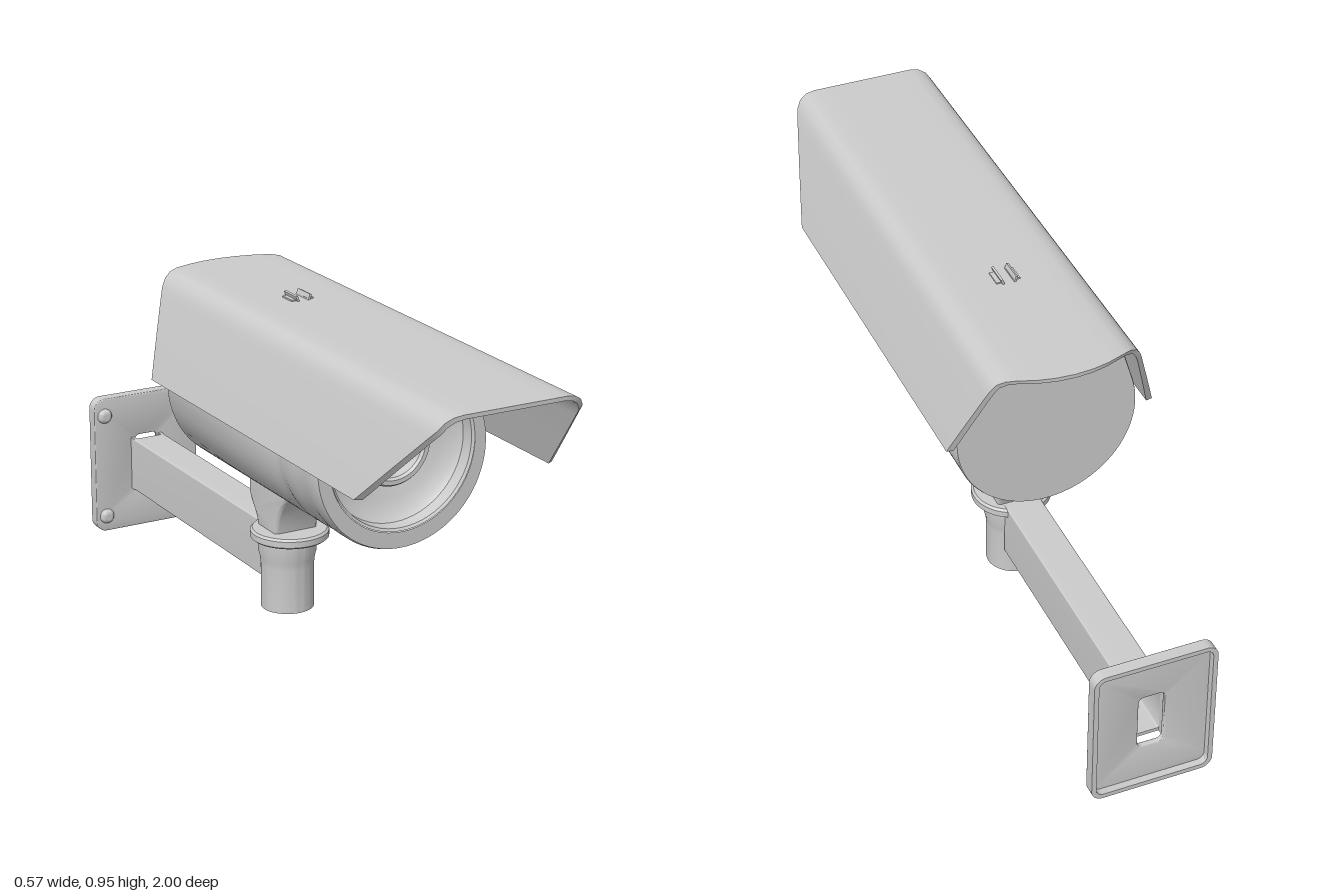
import * as THREE from 'three';
import { toCreasedNormals } from 'three/addons/utils/BufferGeometryUtils.js';

const V2 = (a) => a.map(([x, y]) => new THREE.Vector2(x, y));

// Skin a list of equal-length rings of [x, y, z] points.
function loft(rings) {
  const n = rings[0].length, index = [];
  for (let i = 0; i < rings.length - 1; i++) {
    for (let j = 0; j < n - 1; j++) {
      const a = i * n + j, d = a + n;
      index.push(a, a + 1, d + 1, a, d + 1, d);
    }
  }
  const g = new THREE.BufferGeometry();
  g.setAttribute('position', new THREE.Float32BufferAttribute(rings.flat(2), 3));
  g.setIndex(index);
  return toCreasedNormals(g, 0.6);
}

// Rounded rectangle outline, used for shapes and holes.
function roundRect(Type, w, y0, y1, r) {
  const s = new Type();
  s.absarc(w - r, y0 + r, r, -Math.PI / 2, 0);
  s.absarc(w - r, y1 - r, r, 0, Math.PI / 2);
  s.absarc(-w + r, y1 - r, r, Math.PI / 2, Math.PI);
  s.absarc(-w + r, y0 + r, r, Math.PI, Math.PI * 1.5);
  s.closePath();
  return s;
}

export function createModel() {
  const group = new THREE.Group();
  const mat = new THREE.MeshStandardMaterial({ color: 0xcccccc, side: THREE.DoubleSide });
  const add = (name, geometry, x = 0, y = 0, z = 0) => {
    const m = new THREE.Mesh(geometry, mat);
    m.name = name;
    m.position.set(x, y, z);
    group.add(m);
    return m;
  };
  const extrude = (shape, depth, bevel = 0) => toCreasedNormals(new THREE.ExtrudeGeometry(shape, {
    depth, curveSegments: 10, bevelEnabled: bevel > 0, bevelSize: bevel,
    bevelThickness: bevel, bevelOffset: -bevel, bevelSegments: 3,
  }), 0.6);
  const lathe = (pts) => toCreasedNormals(new THREE.LatheGeometry(V2(pts), 64), 0.6);

  // Housing: round below, tapering to a flat roof under the hood
  const cy = 0.66;
  const roof = [[0.2415, 0.725], [0.196, 0.875], [0.187, 0.898], [0.175, 0.912], [0.155, 0.919]];
  const section = [...roof, ...roof.map(([x, y]) => [-x, y]).reverse()];
  for (let i = 1; i <= 56; i++) {
    const a = THREE.MathUtils.degToRad(165 + i * 210 / 56);
    section.push([0.25 * Math.cos(a), cy + 0.25 * Math.sin(a)]);
  }
  const scaled = (k) => section.map(([x, y]) => [x * k, cy + (y - cy) * k]);
  const stations = [[-0.32, 0.99], [-0.314, 1], [0.27, 1], [0.285, 0.98], [0.3, 0.98],
    [0.325, 1], [0.375, 1], [0.39, 0.992], [0.43, 0.992], [0.445, 1], [0.49, 1], [0.5, 0.985]];
  add('housing', loft(stations.map(([z, k]) => scaled(k).map(([x, y]) => [x, y, z]))));
  add('housingBack', new THREE.ShapeGeometry(new THREE.Shape(V2(scaled(0.99)))), 0, 0, -0.32);

  // Front bezel with a round opening
  const bezel = new THREE.Shape(V2(scaled(0.985)));
  bezel.holes.push(new THREE.Path().absarc(0, 0.67, 0.213, 0, Math.PI * 2, true));
  add('frontBezel', new THREE.ShapeGeometry(bezel, 48), 0, 0, 0.5);

  // Recessed funnel, lens ring and dished lens
  const recess = lathe([[0.213, 0.5], [0.206, 0.495], [0.203, 0.46], [0.19, 0.445], [0.15, 0.43],
    [0.115, 0.42], [0.108, 0.425], [0.107, 0.455], [0.102, 0.462], [0.09, 0.462], [0.084, 0.455],
    [0.082, 0.425], [0.07, 0.415], [0.04, 0.42], [0, 0.423]]).rotateX(Math.PI / 2);
  add('lensRecess', recess, 0, 0.672, 0);

  // Sun hood: a bent sheet with slanted front and bowed back edge
  const half = [[0.285, 0.67], [0.281, 0.682], [0.245, 0.785], [0.211, 0.88], [0.203, 0.9],
    [0.19, 0.92], [0.17, 0.932], [0.145, 0.936], [0.095, 0.936], [0.05, 0.936]];
  const outer = [...half, [0, 0.936], ...half.map(([x, y]) => [-x, y]).reverse()];
  const inner = outer.map(([x, y]) => (y < 0.675 ? [x, y] : [x * 0.95, y - 0.011]));
  const frontZ = ([x, y]) => (y >= 0.9 ? 1 - (0.936 - y) * 0.55 : 0.98 - (0.9 - y) * 1.04);
  const backZ = ([x, y]) => (y >= 0.9 ? -0.49 + 0.06 * (x / 0.203) ** 2 : -0.43 + (0.9 - y) * 0.39);
  const edge = (profile, zOf) => profile.map((p, i) => [...p, zOf(outer[i])]);
  add('sunHood', loft([edge(outer, backZ), edge(outer, frontZ), edge(inner, frontZ),
    edge(inner, backZ), edge(outer, backZ)]));

  // Two small clips on the hood, leaning outwards
  for (const s of [-1, 1]) {
    const clip = add('hoodClip', new THREE.BoxGeometry(0.006, 0.018, 0.065), s * 0.018, 0.942, -0.04);
    clip.rotation.z = -s * 0.35;
    add('hoodClipFoot', new THREE.BoxGeometry(0.02, 0.005, 0.05), s * 0.023, 0.937, -0.04);
  }

  // Neck: side outline extruded across x
  const neck = new THREE.Shape();
  neck.moveTo(-0.05, 0.27);
  neck.bezierCurveTo(-0.04, 0.33, -0.02, 0.38, 0.05, 0.412);
  neck.lineTo(0.05, 0.44);
  neck.lineTo(-0.2, 0.44);
  neck.lineTo(-0.2, 0.37);
  neck.bezierCurveTo(-0.2, 0.33, -0.16, 0.32, -0.15, 0.27);
  neck.closePath();
  const neckGeometry = extrude(neck, 0.11, 0.01).translate(0, 0, -0.055).rotateY(-Math.PI / 2);
  add('neck', neckGeometry);

  // Swivel flange and hollow post
  add('swivelFlange', lathe([[0, 0.25], [0.102, 0.25], [0.108, 0.255], [0.108, 0.272],
    [0.102, 0.278], [0, 0.278]]), 0, 0, -0.087);
  add('post', lathe([[0, 0.22], [0.064, 0.22], [0.066, 0.045], [0.073, 0.045], [0.073, 0.17],
    [0.075, 0.19], [0.08, 0.21], [0.08, 0.252]]), 0, 0, -0.1);

  // Hollow arm; only its side walls reach the wall plate
  const arm = roundRect(THREE.Shape, 0.05, 0.12, 0.28, 0.004);
  arm.holes.push(roundRect(THREE.Path, 0.04, 0.13, 0.27, 0.004));
  add('arm', extrude(arm, 0.785), 0, 0, -0.945);
  for (const s of [-1, 1]) {
    add('armEnd', new THREE.BoxGeometry(0.01, 0.16, 0.025), s * 0.045, 0.2, -0.9575);
  }

  // Wall plate: slotted face with a rim around its hollow back
  const plate = roundRect(THREE.Shape, 0.167, 0, 0.412, 0.032);
  plate.holes.push(roundRect(THREE.Path, 0.036, 0.12, 0.285, 0.015));
  add('wallPlate', extrude(plate, 0.009, 0.003), 0, 0, -0.977);
  const rim = roundRect(THREE.Shape, 0.167, 0, 0.412, 0.032);
  rim.holes.push(roundRect(THREE.Path, 0.154, 0.013, 0.399, 0.02));
  add('wallPlateRim', extrude(rim, 0.026), 0, 0, -1);

  // Rounded bolts at the plate corners
  const bolt = lathe([[0.022, 0], [0.022, 0.006], [0.017, 0.014], [0.009, 0.018], [0, 0.019]])
    .rotateX(Math.PI / 2);
  for (const x of [-0.135, 0.135]) {
    for (const y of [0.047, 0.36]) add('plateBolt', bolt, x, y, -0.967);
  }
  return group;
}
